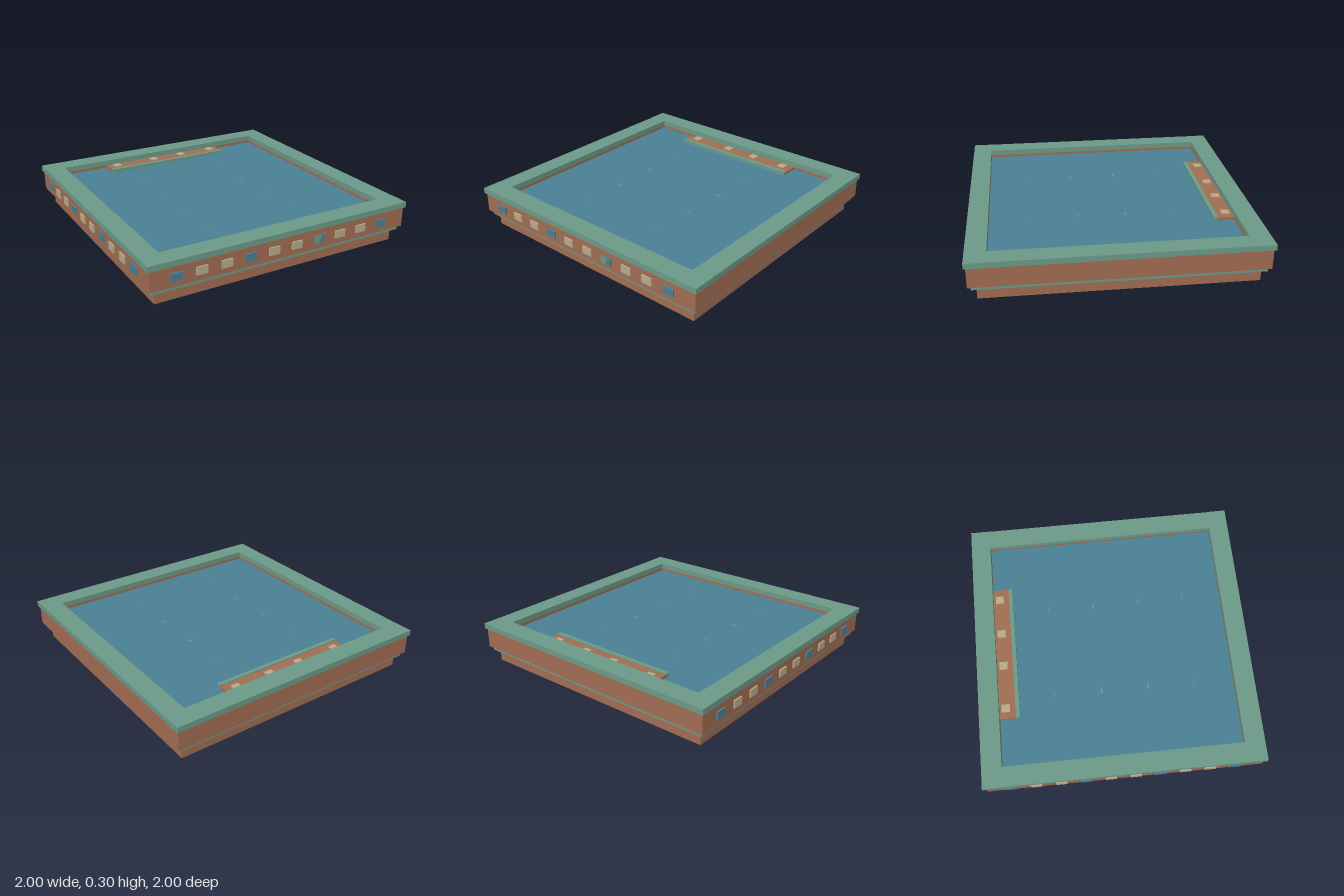
import * as THREE from 'three';

export function createModel() {
  const model = new THREE.Group();
  model.name = 'pool';

  const mat = (name, color) => {
    const m = new THREE.MeshStandardMaterial({ color });
    m.name = name;
    return m;
  };
  const green = mat('sage green', 0x6b9987);
  const brick = mat('terracotta', 0xa06c52);
  const blue = mat('pool blue', 0x4a8094);
  const sand = mat('sand', 0xb8a98a);

  // Box given by its limits on each axis
  const box = (name, m, x0, x1, y0, y1, z0, z1, parent = model) => {
    const mesh = new THREE.Mesh(new THREE.BoxGeometry(x1 - x0, y1 - y0, z1 - z0), m);
    mesh.position.set((x0 + x1) / 2, (y0 + y1) / 2, (z0 + z1) / 2);
    mesh.name = name;
    parent.add(mesh);
    return mesh;
  };

  // Four beams around the open basin
  const frame = (name, m, outer, inner, y0, y1, side = outer) => {
    const g = new THREE.Group();
    g.name = name;
    for (const s of [-1, 1]) {
      const c = s * (outer + inner) / 2, h = (outer - inner) / 2;
      const d = s * (side + inner) / 2, k = (side - inner) / 2;
      box(name + 'Beam', m, -outer, outer, y0, y1, c - h, c + h, g);
      box(name + 'Side', m, d - k, d + k, y0, y1, -inner, inner, g);
    }
    model.add(g);
  };

  // Stepped base, walls and coping
  const IN = 0.857;
  box('base', brick, -0.933, 0.933, 0, 0.085, -0.933, 0.933);
  box('ledge', green, -0.966, 0.966, 0.085, 0.115, -0.966, 0.966);
  frame('wall', brick, 0.987, IN, 0.115, 0.26);
  frame('coping', green, 1, IN, 0.26, 0.3, 0.998);
  box('water', blue, -IN, IN, 0.115, 0.24, -IN, IN);

  // Entry step with nosing and inlaid tiles
  box('step', brick, -0.508, 0.505, 0.235, 0.26, -IN, -0.74);
  box('stepNosing', green, -0.508, 0.505, 0.235, 0.267, -0.74, -0.71);
  for (const x of [-0.43, -0.105, 0.147, 0.423])
    box('stepTile', sand, x - 0.029, x + 0.029, 0.258, 0.266, -0.84, -0.78);

  // Small glints on the water in two lanes
  for (const x of [-0.362, 0.317])
    [-0.45, -0.11, 0.233, 0.57].forEach((z, i) => {
      const h = i === 1 || i === 2 ? 0.008 : 0.003;
      const shape = new THREE.Shape([
        new THREE.Vector2(-0.028, 0), new THREE.Vector2(0, -h),
        new THREE.Vector2(0.028, 0), new THREE.Vector2(0, h),
      ]);
      const mark = new THREE.Mesh(new THREE.ShapeGeometry(shape), green);
      mark.rotation.x = -Math.PI / 2;
      mark.position.set(x, 0.2415, z);
      mark.name = 'laneMark';
      model.add(mark);
    });

  // Tile rows on the front and the right side
  for (const side of ['front', 'right']) {
    const row = new THREE.Group();
    row.name = side + 'TileRow';
    for (let i = 0; i < 10; i++) {
      const x = -0.808 + i * 0.1765, w = i % 3 === 0 ? 0.042 : 0.04;
      box('wallTile', i % 3 === 0 ? blue : sand, x - w, x + w, 0.157, 0.212, 0.98, 0.998, row);
    }
    if (side === 'right') row.rotation.y = -Math.PI / 2;
    model.add(row);
  }

  // Green glaze on one front tile
  const glaze = new THREE.Mesh(new THREE.ShapeGeometry(new THREE.Shape([
    new THREE.Vector2(0.209, 0.157), new THREE.Vector2(0.246, 0.157),
    new THREE.Vector2(0.27, 0.212), new THREE.Vector2(0.209, 0.212),
  ])), green);
  glaze.position.z = 0.9995;
  glaze.name = 'tileGlaze';
  model.add(glaze);

  return model;
}
